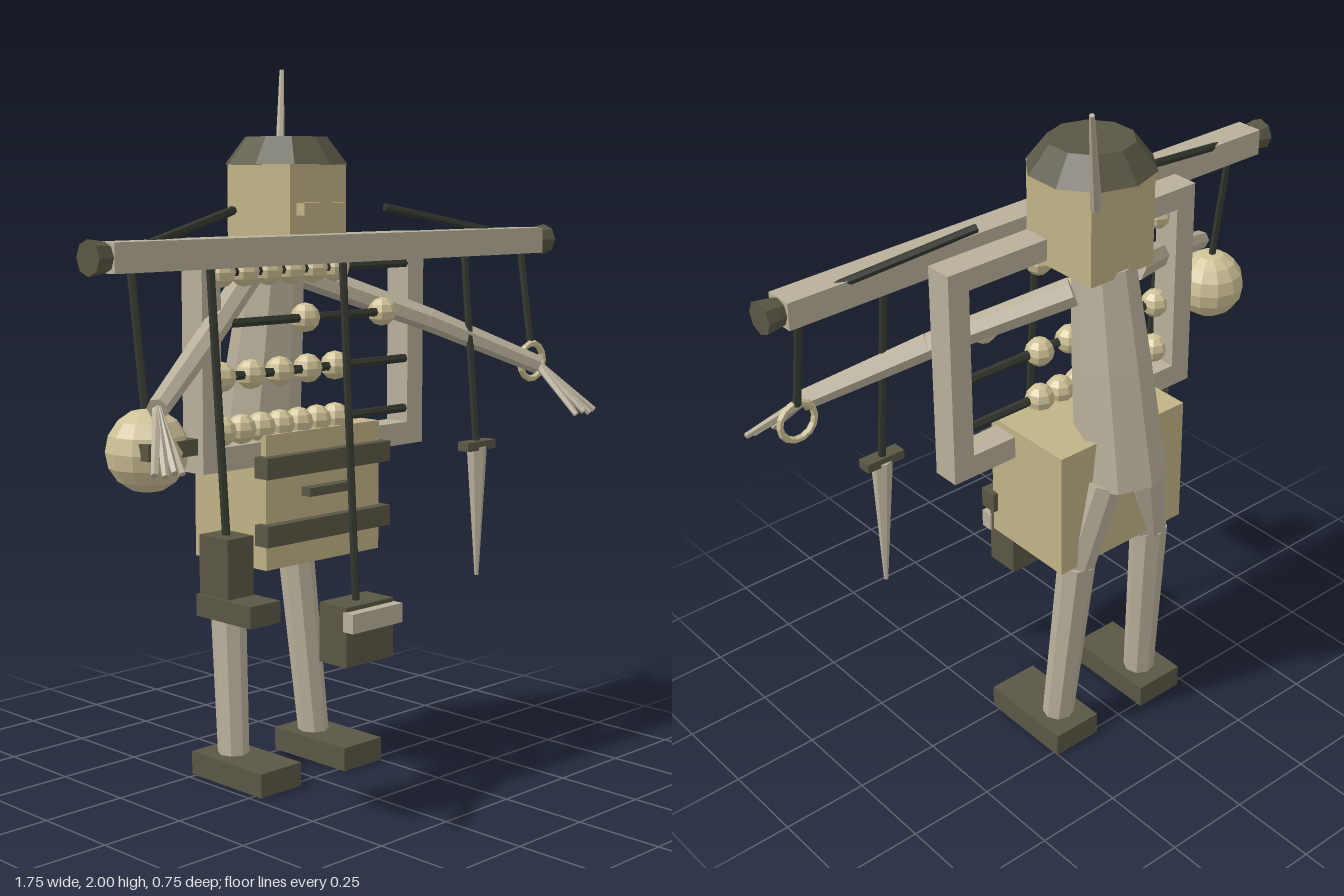
import * as THREE from 'three';

const mat = (name, color) => {
  const m = new THREE.MeshStandardMaterial({ color, flatShading: true });
  m.name = name;
  return m;
};

export function createModel() {
  const stone = mat('stone grey', 0xb9b09b);
  const tan = mat('tan', 0xc1b387);
  const bead = mat('pale bead', 0xcec196);
  const dark = mat('dark olive', 0x5a5745);
  const cord = mat('cord black', 0x34372f);
  const root = new THREE.Group();
  root.name = 'pedlar';

  const add = (name, geo, material, parent = root) => {
    const m = new THREE.Mesh(geo, material);
    m.name = name;
    parent.add(m);
    return m;
  };
  const group = (name) => {
    const g = new THREE.Group();
    g.name = name;
    root.add(g);
    return g;
  };
  // box given by its limits on each axis
  const box = (name, [x0, x1], [y0, y1], [z0, z1], material, parent) => {
    const m = add(name, new THREE.BoxGeometry(x1 - x0, y1 - y0, z1 - z0), material, parent);
    m.position.set((x0 + x1) / 2, (y0 + y1) / 2, (z0 + z1) / 2);
    return m;
  };
  // tapered rod from point a to point b
  const rod = (name, a, b, r0, r1, sides, material, parent) => {
    const A = new THREE.Vector3(...a), B = new THREE.Vector3(...b);
    const dir = B.clone().sub(A);
    const m = add(name, new THREE.CylinderGeometry(r1, r0, dir.length(), sides), material, parent);
    m.position.copy(A).add(B).multiplyScalar(0.5);
    m.quaternion.setFromUnitVectors(new THREE.Vector3(0, 1, 0), dir.normalize());
    return m;
  };
  // chain of rods through several points
  const limb = (name, pts, radii, sides, material, parent) => {
    for (let i = 0; i < pts.length - 1; i++)
      rod(name, pts[i], pts[i + 1], radii[i], radii[i + 1], sides, material, parent);
  };
  const ball = (name, r, x, y, z, w, h, material, parent) => {
    const m = add(name, new THREE.SphereGeometry(r, w, h), material, parent);
    m.position.set(x, y, z);
    return m;
  };

  // head, hat and feather
  const head = group('head');
  box('headBlock', [-0.095, 0.12], [1.46, 1.73], [-0.245, 0.005], tan, head);
  box('mouthPlate', [-0.07, 0.09], [1.588, 1.622], [0, 0.035], tan, head);
  const hat = add('hat', new THREE.CylinderGeometry(0.115, 0.172, 0.075, 10), dark, head);
  hat.position.set(0.01, 1.7625, -0.12);
  rod('feather', [0.125, 1.69, -0.268], [0.235, 1.997, -0.372], 0.015, 0.007, 6, stone, head);

  // stooped torso
  limb('torso', [[0.01, 1.465, -0.17], [0.01, 1.2, -0.205], [0.01, 0.86, -0.25]],
    [0.085, 0.105, 0.125], 8, stone, group('body'));

  // legs and feet
  for (const s of [-1, 1]) {
    const g = group(s < 0 ? 'rightLeg' : 'leftLeg');
    const x = (d) => 0.0125 + s * d;
    limb('leg', [[x(0.075), 0.88, -0.265], [x(0.135), 0.62, -0.228], [x(0.16), 0.05, -0.175]],
      [0.055, 0.053, 0.045], 8, stone, g);
    box('foot', [x(0.163) - 0.076, x(0.163) + 0.076], [0, 0.068], [-0.265, 0.025], dark, g);
  }

  // arms with splayed fingers
  for (const [name, sx, ex, wx, tx, s] of [
    ['rightArm', -0.09, -0.42, -0.745, -0.825, -1],
    ['leftArm', 0.115, 0.42, 0.7, 0.755, 1]]) {
    const g = group(name);
    const wrist = [wx, 1.145, 0.225];
    limb('arm', [[sx, 1.42, -0.17], [ex, 1.285, 0.04], wrist], [0.04, 0.035, 0.028], 7, stone, g);
    for (let i = 0; i < 4; i++) {
      const d = (i - 1.5) * 0.028;
      rod('finger', wrist, [tx + s * d, 1.008 + (i % 2) * 0.006, 0.368 - Math.abs(d) * 0.2],
        0.013, 0.009, 5, stone, g);
    }
  }

  // chest with bands and handle
  const chest = group('chest');
  box('chestBox', [-0.205, 0.235], [0.635, 1.005], [-0.265, 0.025], tan, chest);
  for (const y of [0.705, 0.89])
    box('chestBand', [-0.228, 0.25], [y, y + 0.058], [0.005, 0.056], dark, chest);
  box('chestHandle', [-0.072, 0.098], [0.826, 0.85], [0.02, 0.06], dark, chest);

  // counting frame with beads
  const frame = group('countingFrame');
  const outline = new THREE.Shape([[-0.41, 0.92], [0.44, 0.92], [0.44, 1.535], [-0.41, 1.535]]
    .map((p) => new THREE.Vector2(...p)));
  outline.holes.push(new THREE.Path([[-0.345, 0.985], [-0.345, 1.475], [0.375, 1.475], [0.375, 0.985]]
    .map((p) => new THREE.Vector2(...p))));
  add('frameBorder', new THREE.ExtrudeGeometry(outline, { depth: 0.08, bevelEnabled: false }), stone, frame)
    .position.z = -0.075;
  const even = (n) => Array.from({ length: n }, (_, i) => -0.33 + (0.425 * i) / (n - 1));
  for (const [y, xs] of [[1.445, even(6)], [1.31, [-0.02, 0.285]], [1.17, even(5)], [1.025, even(7)]]) {
    rod('frameWire', [-0.36, y, -0.008], [0.388, y, -0.008], 0.013, 0.013, 6, cord, frame);
    for (const x of xs) ball('bead', 0.041, x, y, -0.013, 8, 6, bead, frame);
  }

  // carrying beam, end caps and braces
  const beam = group('beam');
  box('beamBar', [-0.8, 0.82], [1.465, 1.54], [0.058, 0.14], stone, beam);
  for (const s of [-1, 1]) {
    const x = (d) => 0.013 + s * d;
    limb('beamCap', [[x(0.785), 1.503, 0.1], [x(0.825), 1.503, 0.1], [x(0.862), 1.503, 0.1]],
      [0.034, 0.04, 0.045], 8, dark, beam);
    rod('brace', [x(0.29), 1.605, -0.02], [x(0.75), 1.51, 0.1], 0.012, 0.012, 6, cord, beam);
  }

  // hanging cords
  const wares = group('hangingWares');
  for (const [x, y, z] of [[-0.72, 1.12, 0.15], [-0.465, 0.78, 0.155], [0.01, 0.53, 0.155],
    [0.51, 0.92, 0.155], [0.765, 1.195, 0.145]])
    rod('cord', [x, 1.48, 0.1], [x, y, z], 0.011, 0.011, 6, cord, wares);

  // globe with a dark bar
  ball('globe', 0.104, -0.72, 1.035, 0.155, 12, 8, bead, wares);
  box('globeBar', [-0.795, -0.64], [1.025, 1.065], [0.18, 0.25], dark, wares);

  // boot
  box('bootShaft', [-0.508, -0.42], [0.63, 0.79], [0.1, 0.208], dark, wares);
  box('bootSole', [-0.516, -0.414], [0.578, 0.635], [0.095, 0.3], dark, wares);

  // small case with a pale plate
  box('case', [-0.08, 0.104], [0.375, 0.542], [0.103, 0.207], dark, wares);
  box('casePlate', [-0.086, 0.11], [0.476, 0.53], [0.2, 0.237], stone, wares);

  // dagger
  box('daggerGuard', [0.449, 0.569], [0.906, 0.932], [0.137, 0.178], dark, wares);
  rod('daggerBlade', [0.51, 0.915, 0.157], [0.524, 0.53, 0.15], 0.03, 0.006, 6, stone, wares);

  // ring
  const ring = add('ring', new THREE.TorusGeometry(0.053, 0.01, 6, 14), bead, wares);
  ring.position.set(0.765, 1.145, 0.15);

  return root;
}
